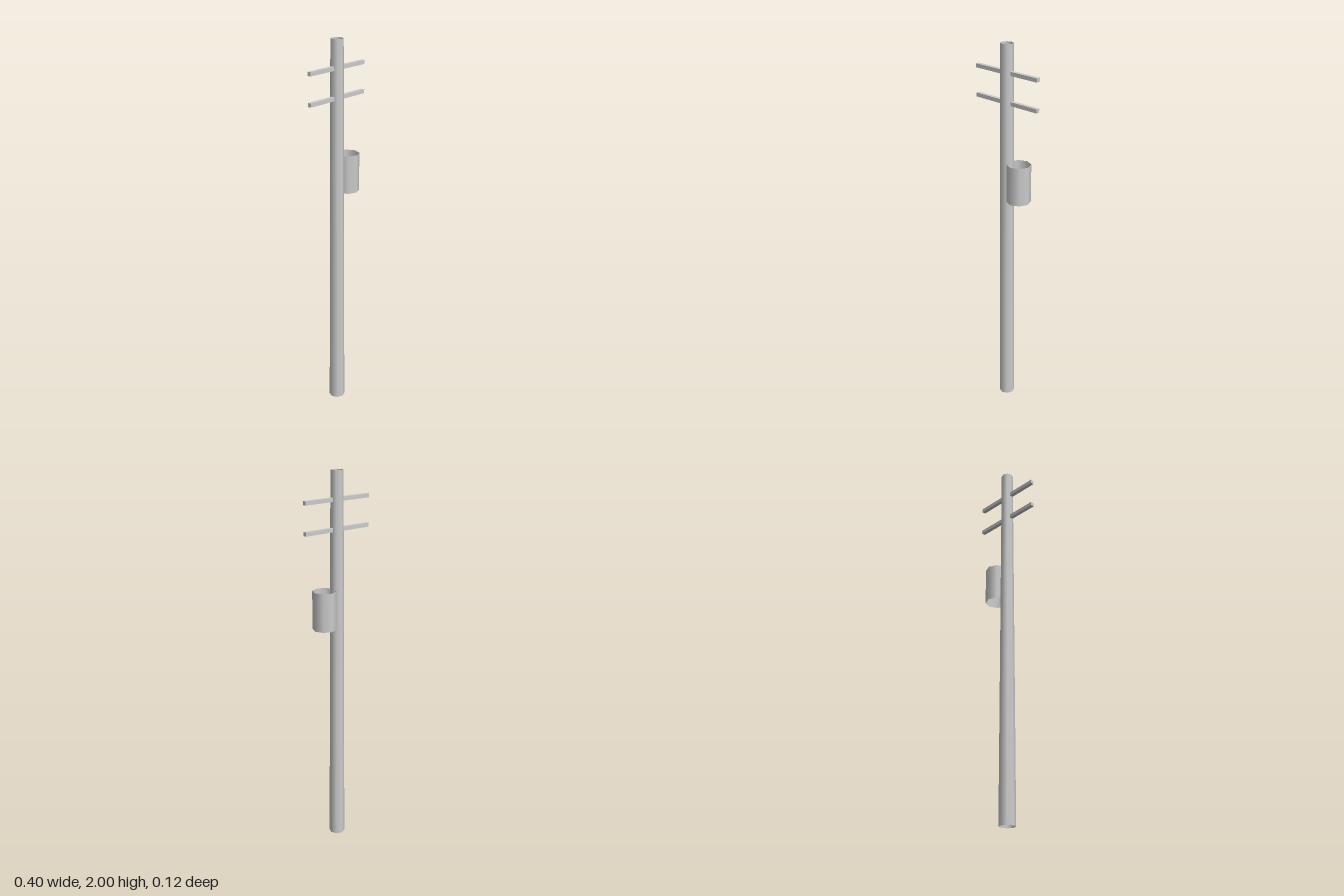
import * as THREE from 'three';

export function createModel() {
  const model = new THREE.Group();
  model.name = 'utilityPole';
  const solid = new THREE.MeshStandardMaterial({ color: 0xcccccc });
  const shell = new THREE.MeshStandardMaterial({ color: 0xcccccc, side: THREE.DoubleSide });

  const add = (name, geometry, material, x, y) => {
    const mesh = new THREE.Mesh(geometry, material);
    mesh.name = name;
    mesh.position.set(x, y, 0);
    model.add(mesh);
  };

  // Tapered eight-sided pole, open at both ends
  add('pole', new THREE.CylinderGeometry(0.032, 0.042, 2, 8, 1, true), shell, 0, 1);

  // Open drum that cuts into the left side of the pole
  add('transformerDrum', new THREE.CylinderGeometry(0.062, 0.062, 0.2, 8, 1, true), shell, 0.081, 1.313);

  // Two levels of crossarms, each in two halves that stop at the pole
  const inner = 0.032, outer = 0.2;
  const arm = new THREE.BoxGeometry(outer - inner, 0.02, 0.02);
  for (const [level, y] of [['upper', 1.86], ['lower', 1.713]]) {
    for (const [side, s] of [['Left', 1], ['Right', -1]]) {
      add(`${level}${side}Crossarm`, arm, solid, s * (inner + outer) / 2, y);
    }
  }
  return model;
}
